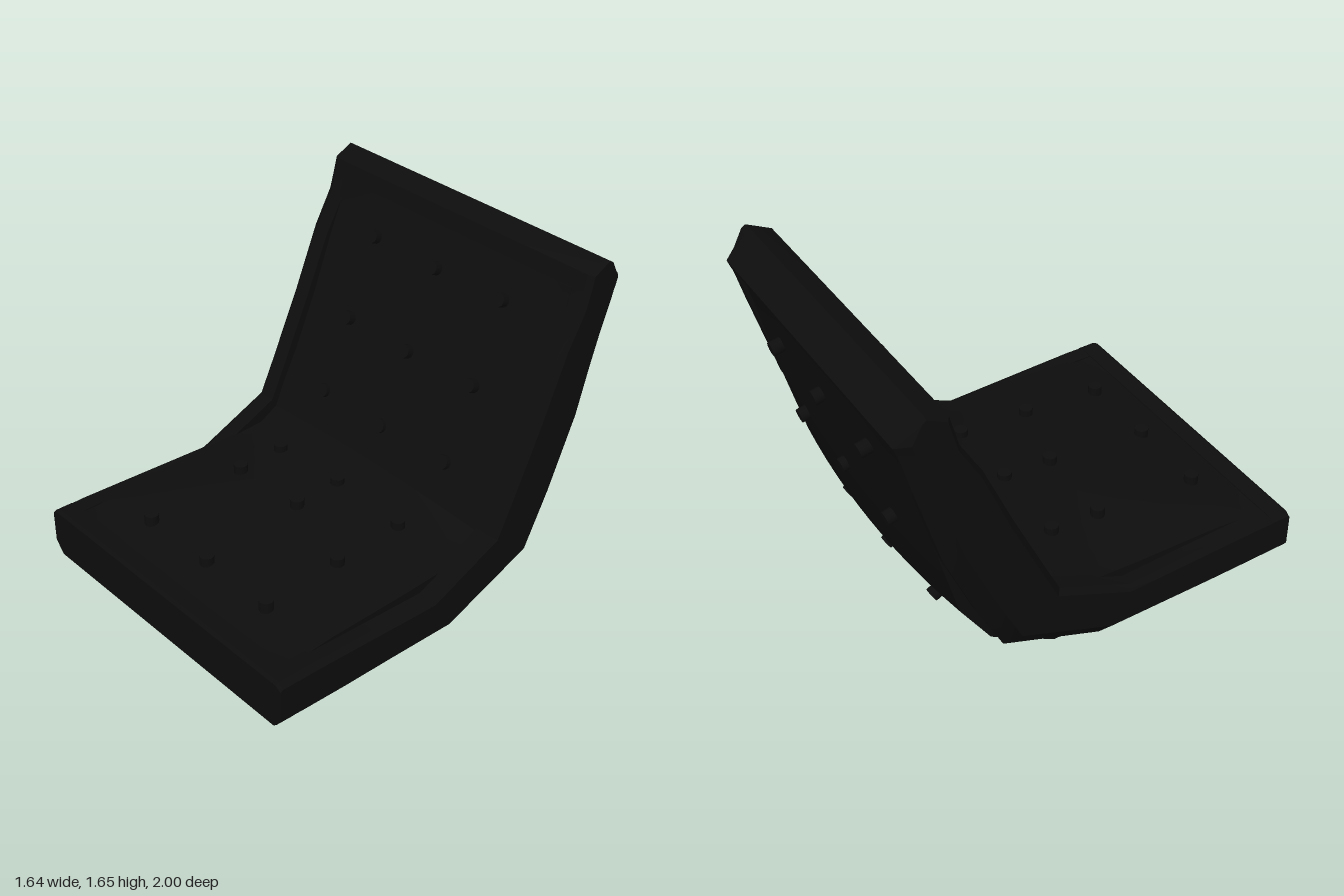
import * as THREE from 'three';
import { toCreasedNormals } from 'three/addons/utils/BufferGeometryUtils.js';

const black = new THREE.MeshStandardMaterial({ color: 0x0d0d0d, side: THREE.DoubleSide });

// Loft through stations [topZ, topY, bottomZ, bottomY, inset].
// section(station) gives [x, t] points, t running from top (0) to bottom (1).
function loft(name, stations, section) {
  const pos = [], idx = [];
  let n = 0;
  for (const s of stations) {
    const pts = section(s);
    n = pts.length;
    for (const [x, t] of pts) pos.push(x, s[1] + (s[3] - s[1]) * t, s[0] + (s[2] - s[0]) * t);
  }
  for (let i = 0; i < stations.length - 1; i++) {
    for (let j = 0; j < n; j++) {
      const a = i * n + j, b = i * n + (j + 1) % n, c = b + n, d = a + n;
      idx.push(a, d, b, b, d, c);
    }
  }
  const e = (stations.length - 1) * n;
  for (let j = 1; j < n - 1; j++) idx.push(0, j, j + 1, e, e + j + 1, e + j);
  const geo = new THREE.BufferGeometry();
  geo.setAttribute('position', new THREE.Float32BufferAttribute(pos, 3));
  geo.setIndex(idx);
  const mesh = new THREE.Mesh(toCreasedNormals(geo, 0.5), black);
  mesh.name = name;
  return mesh;
}

const mirrored = (pts) => pts.map(([x, t]) => [-x, t]).reverse();

export function createModel() {
  const model = new THREE.Group();
  model.name = 'paddedSeat';

  // Frame: two bent side rails joined by a front bar and a top bar
  const outer = [[0.77, 1], [0.82, 0.75], [0.82, 0.08], [0.79, 0]];
  const rail = [[0.72, 1], ...outer, [0.71, 0]];
  const bar = [...outer, ...mirrored(outer)];
  const railPath = [
    [0.99, 0.365, 0.99, 0.12], [0.83, 0.365, 0.83, 0.11], [0.64, 0.355, 0.6, 0.1],
    [0.12, 0.325, -0.02, 0.085], [-0.25, 0.485, -0.52, 0.27], [-0.32, 0.63, -0.65, 0.53],
    [-0.48, 0.97, -0.8, 0.88], [-0.62, 1.29, -0.93, 1.33], [-0.72, 1.46, -0.965, 1.46],
    [-0.76, 1.6, -0.99, 1.54],
  ];
  model.add(loft('leftRail', railPath, () => rail));
  model.add(loft('rightRail', railPath, () => mirrored(rail)));
  model.add(loft('frontBar', [[1, 0.36, 1, 0.125], [0.985, 0.37, 0.985, 0.118], [0.9, 0.368, 0.9, 0.113]], () => bar));
  model.add(loft('topBar', [
    [-0.743, 1.54, -0.98, 1.5], [-0.763, 1.62, -0.995, 1.54], [-0.87, 1.66, -0.9, 1.64],
  ], () => bar));

  // Cushion: one continuous pad, domed on both faces
  const cushionPath = [
    [0.9, 0.362, 0.9, 0.118, 0], [0.83, 0.368, 0.83, 0.108, 0.01], [0.64, 0.41, 0.62, 0.07, 0.04],
    [0.2, 0.44, 0.2, 0.045, 0.07], [-0.16, 0.46, -0.25, 0.035, 0.08],
    [-0.25, 0.49, -0.42, 0.15, 0.06], [-0.3, 0.6, -0.59, 0.26, 0.05],
    [-0.37, 0.74, -0.75, 0.5, 0.05], [-0.5, 1.01, -0.85, 0.9, 0.04],
    [-0.62, 1.29, -0.935, 1.3, 0.03], [-0.7, 1.45, -0.955, 1.44, 0.015], [-0.74, 1.54, -0.975, 1.5, 0],
  ];
  const half = 0.73, steps = 12;
  model.add(loft('cushion', cushionPath, (s) => {
    const depth = Math.hypot(s[0] - s[2], s[1] - s[3]);
    const top = [], bottom = [];
    for (let i = 0; i <= steps; i++) {
      const u = 1 - 2 * i / steps, inset = s[4] * u * u / depth;
      top.push([half * u, inset]);
      bottom.push([-half * u, 1 - inset]);
    }
    return [...top, ...bottom];
  }));

  // Tufting buttons: [z, y, outward angle from +z toward +y]
  const buttonGeo = new THREE.CylinderGeometry(0.034, 0.034, 0.06, 12);
  const up = new THREE.Vector3(0, 1, 0);
  function button(name, x, z, y, degrees) {
    const a = THREE.MathUtils.degToRad(degrees);
    const mesh = new THREE.Mesh(buttonGeo, black);
    mesh.name = name;
    mesh.position.set(x, y, z);
    mesh.quaternion.setFromUnitVectors(up, new THREE.Vector3(0, Math.sin(a), Math.cos(a)));
    model.add(mesh);
  }
  for (const x of [-0.41, 0, 0.41]) {
    const drop = x === 0 ? 0 : 0.02;
    // seat
    button('seatButton', x, 0.73, 0.4, 90);
    if (x > 0) button('seatButton', x, 0.32, 0.42, 90);
    else button('seatButton', x, 0.2, 0.452 - drop, 90);
    button('seatButton', x, -0.05, 0.455 - drop, 90);
    // backrest front
    for (const [z, y] of [[-0.335, 0.645], [-0.485, 0.995], [-0.65, 1.375]]) {
      button('backrestButton', x, z - drop / 2, y, 24);
    }
    // underside and rear
    button('undersideButton', x, 0.73, 0.08, 270);
    button('undersideButton', x, 0.2, 0.04 + drop, 270);
    button('undersideButton', x, -0.28, 0.048 + drop, 240);
    button('rearButton', x, -0.655 + drop / 2, 0.355, 212);
    button('rearButton', x, -0.845, 0.88, 194);
    button('rearButton', x, -0.945, 1.28, 192);
  }
  return model;
}
